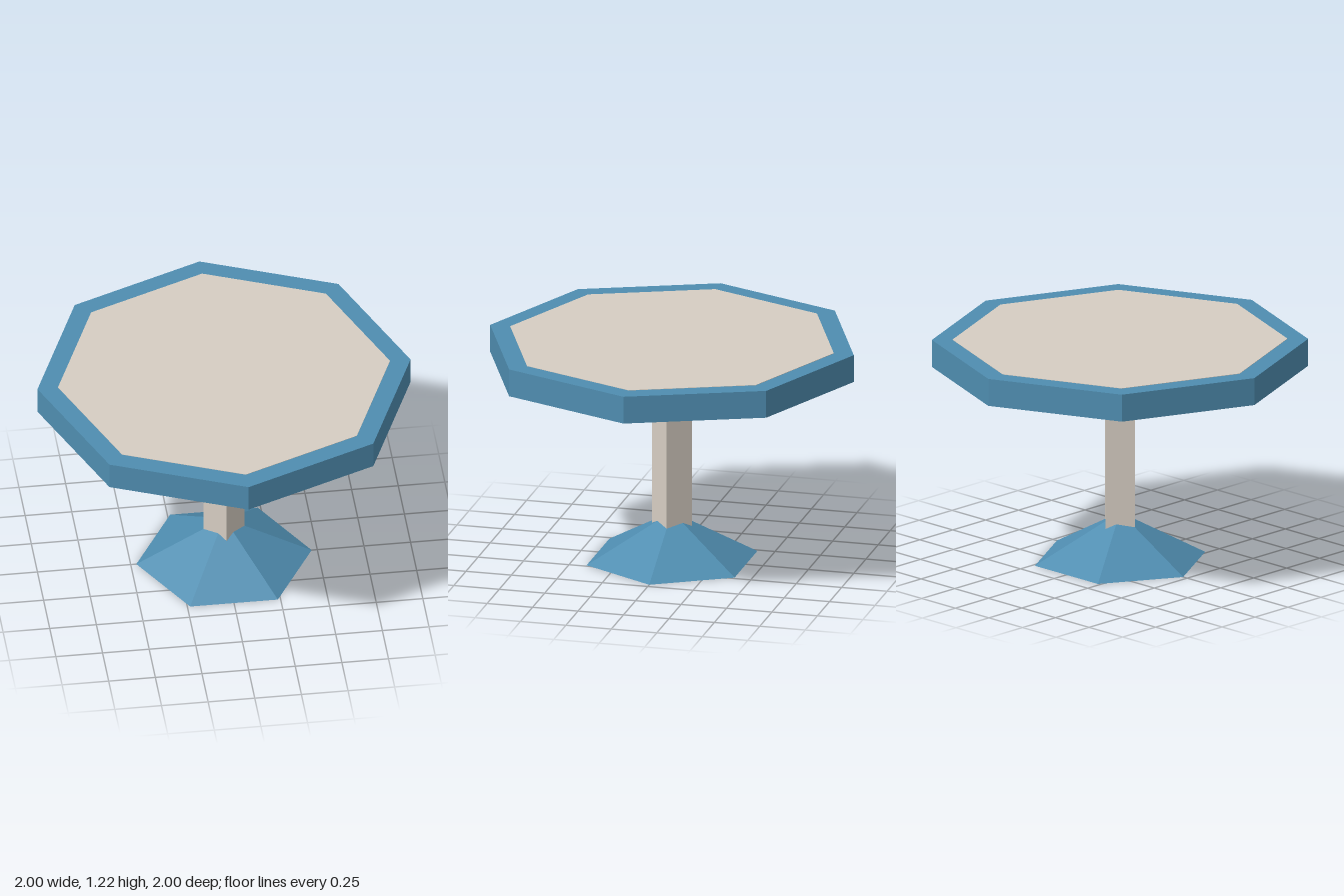
import * as THREE from 'three';

function material(name, color) {
  const m = new THREE.MeshStandardMaterial({ color });
  m.name = name;
  return m;
}

// Faceted prism or cone standing between two heights
function prism(name, topRadius, bottomRadius, bottom, top, sides, mat) {
  const geometry = new THREE.CylinderGeometry(topRadius, bottomRadius, top - bottom, sides).toNonIndexed();
  geometry.computeVertexNormals();
  const mesh = new THREE.Mesh(geometry, mat);
  mesh.name = name;
  mesh.position.y = (bottom + top) / 2;
  return mesh;
}

export function createModel() {
  const group = new THREE.Group();
  group.name = 'pedestalTable';
  const blue = material('blue', 0x4f8db0);
  const beige = material('beige', 0xd6cdc2);

  // Six-sided pyramid foot, corners on the x axis
  const foot = prism('foot', 0, 0.47, 0, 0.26, 6, blue);
  foot.rotation.y = Math.PI / 6;

  // Square column turned corner-forward
  const column = prism('column', 0.11, 0.11, 0.1, 1.07, 4, beige);

  // Octagonal top with a thin inlaid panel
  const tableTop = prism('tableTop', 1, 1, 1.07, 1.22, 8, blue);
  const panel = prism('topPanel', 0.89, 0.89, 1.218, 1.222, 8, beige);

  group.add(foot, column, tableTop, panel);
  return group;
}
